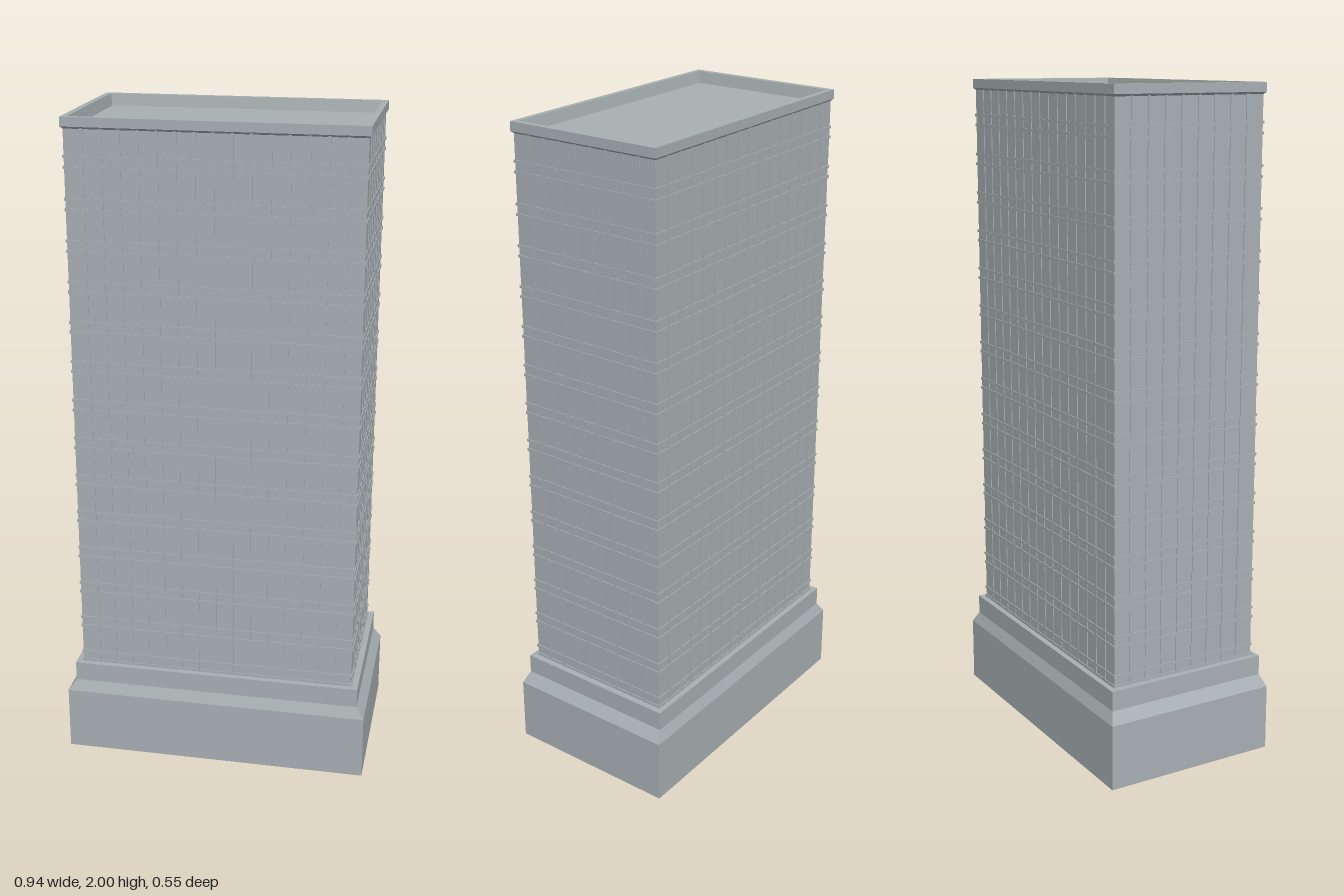
import * as THREE from 'three';

const stone = new THREE.MeshStandardMaterial({ color: 0xa8b0b3 });
stone.name = 'grey stone';

// Stacks rectangular rings [halfX, halfZ, y] into a flat-sided shell
function rectLoft(rings) {
  const pos = [];
  const corner = ([x, z, y], i) => [[x, y, z], [x, y, -z], [-x, y, -z], [-x, y, z]][i % 4];
  for (let r = 0; r < rings.length - 1; r++) {
    for (let i = 0; i < 4; i++) {
      const a = corner(rings[r], i), b = corner(rings[r], i + 1);
      const c = corner(rings[r + 1], i + 1), d = corner(rings[r + 1], i);
      pos.push(...a, ...b, ...c, ...a, ...c, ...d);
    }
  }
  const geo = new THREE.BufferGeometry();
  geo.setAttribute('position', new THREE.Float32BufferAttribute(pos, 3));
  geo.computeVertexNormals();
  return geo;
}

export function createModel() {
  const building = new THREE.Group();
  building.name = 'towerBlock';
  const add = (name, geo, parent = building) => {
    const mesh = new THREE.Mesh(geo, stone);
    mesh.name = name;
    parent.add(mesh);
    return mesh;
  };

  const HX = 0.425, HZ = 0.24, OUT = 0.003;
  const BASE = 0.295, TOP = 1.973;

  // Wide plinth with a sloped shoulder
  add('plinth', rectLoft([
    [0, 0, 0], [0.47, 0.273, 0], [0.47, 0.273, 0.2],
    [0.446, 0.259, 0.235], [0.446, 0.259, BASE], [HX, HZ, BASE],
  ]));

  // Main shaft
  add('shaft', rectLoft([[HX, HZ, BASE], [HX, HZ, TOP]]));

  // Cornice, parapet with sloping inner walls, and sunken roof
  add('parapetAndRoof', rectLoft([
    [HX, HZ, TOP - 0.006], [0.432, 0.246, TOP], [0.432, 0.246, 2],
    [0.414, 0.23, 2], [0.408, 0.224, 1.965], [0, 0, 1.965],
  ]));

  // Two thin ledges around the shaft at every floor
  const ledges = new THREE.Group();
  ledges.name = 'floorLedges';
  building.add(ledges);
  const ledgeGeo = rectLoft([
    [HX, HZ, -0.004], [HX + OUT, HZ + OUT, -0.004],
    [HX + OUT, HZ + OUT, 0.004], [HX, HZ, 0.004],
  ]);
  for (let floor = 0; floor < 14; floor++) {
    for (const y of [1.89, 1.86]) {
      add('floorLedge', ledgeGeo, ledges).position.y = y - floor * 0.12;
    }
  }

  // Slim vertical mullions on all four sides
  const mullions = new THREE.Group();
  mullions.name = 'mullions';
  building.add(mullions);
  const height = TOP - BASE, midY = (TOP + BASE) / 2;
  const deep = 2 * OUT;
  const frontGeo = new THREE.BoxGeometry(0.008, height, deep);
  const sideGeo = new THREE.BoxGeometry(deep, height, 0.008);
  for (const s of [-1, 1]) {
    for (let i = 1; i < 16; i++) {
      add('longSideMullion', frontGeo, mullions)
        .position.set(-HX + (i * 2 * HX) / 16, midY, s * (HZ - 0.0005));
    }
    for (let i = 1; i < 9; i++) {
      add('shortSideMullion', sideGeo, mullions)
        .position.set(s * (HX - 0.0005), midY, -HZ + (i * 2 * HZ) / 9);
    }
  }
  return building;
}
